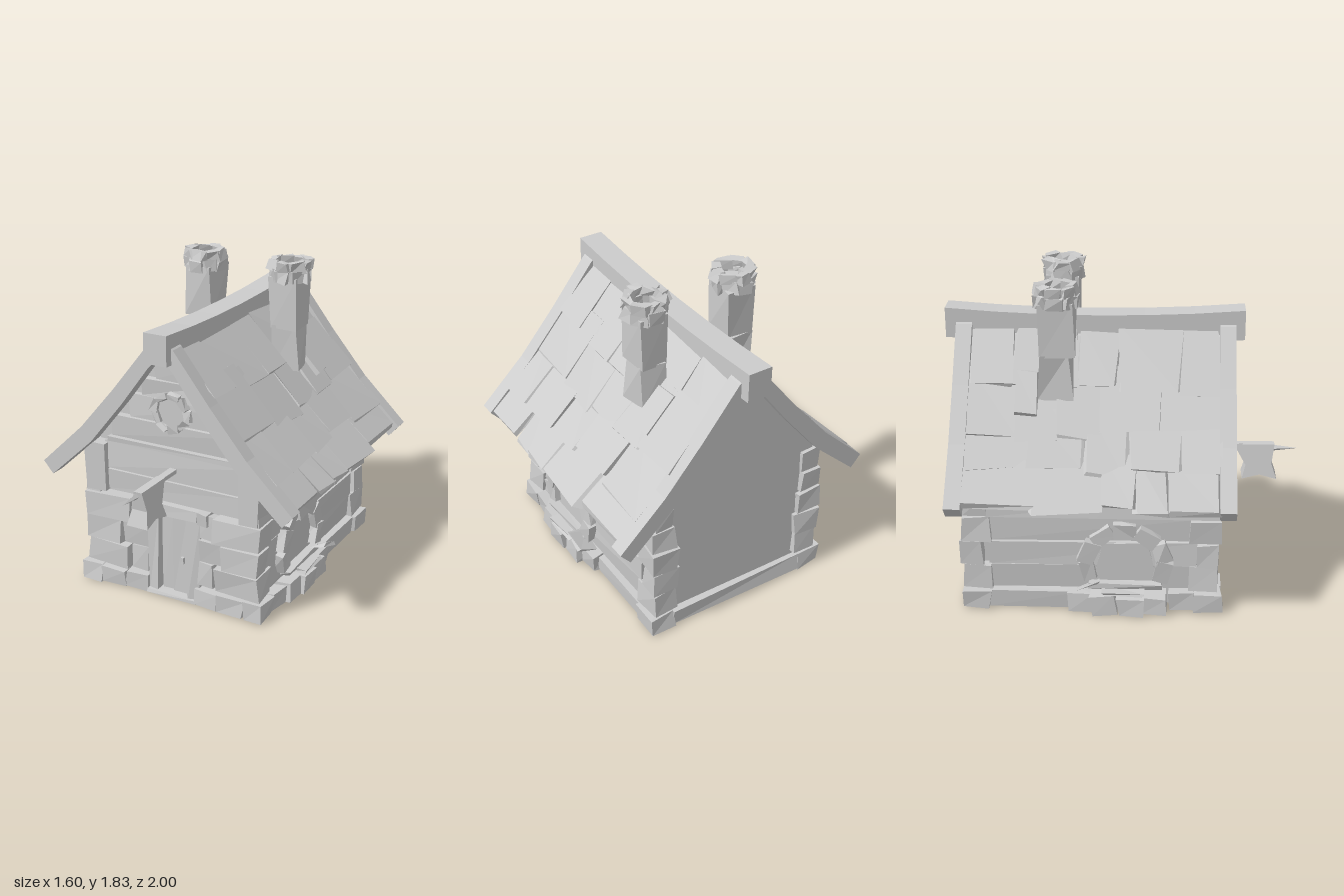
import * as THREE from 'three';

export function createModel() {
  const root = new THREE.Group();
  root.name = 'cottage';
  const stoneGrey = new THREE.MeshStandardMaterial({ color: 0xcccccc });
  stoneGrey.name = 'stoneGrey';
  stoneGrey.flatShading = true;

  let seed = 7;
  const rnd = () => {
    seed = (seed * 16807) % 2147483647;
    return seed / 2147483647 - 0.5;
  };
  const group = (name) => {
    const g = new THREE.Group();
    g.name = name;
    root.add(g);
    return g;
  };
  const add = (parent, name, geo) => {
    const m = new THREE.Mesh(geo, stoneGrey);
    m.name = name;
    parent.add(m);
    return m;
  };
  // A rough block: a box whose eight corners are nudged
  const block = (parent, name, x, y, z, w, h, d, jit = 0.012) => {
    const geo = new THREE.BoxGeometry(w, h, d);
    const p = geo.attributes.position;
    const off = Array.from({ length: 8 }, () => [rnd() * 2 * jit, rnd() * jit, rnd() * 2 * jit]);
    for (let i = 0; i < p.count; i++) {
      const k = (p.getX(i) > 0 ? 1 : 0) + (p.getY(i) > 0 ? 2 : 0) + (p.getZ(i) > 0 ? 4 : 0);
      p.setXYZ(i, p.getX(i) + off[k][0], p.getY(i) + off[k][1], p.getZ(i) + off[k][2]);
    }
    geo.computeVertexNormals();
    const m = add(parent, name, geo);
    m.position.set(x, y, z);
    return m;
  };
  // Block given by its limits
  const span = (parent, name, x0, x1, y0, y1, z0, z1, jit) =>
    block(parent, name, (x0 + x1) / 2, (y0 + y1) / 2, (z0 + z1) / 2, x1 - x0, y1 - y0, z1 - z0, jit);
  // Outline in x and y, drawn out from z0 to z1
  const prism = (parent, name, pts, z0, z1) => {
    const shape = new THREE.Shape(pts.map(([x, y]) => new THREE.Vector2(x, y)));
    const geo = new THREE.ExtrudeGeometry(shape, { depth: z1 - z0, bevelEnabled: false });
    geo.translate(0, 0, z0);
    return add(parent, name, geo);
  };

  // Walls and gables
  prism(root, 'wallBody', [[-0.5, 0.03], [0.5, 0.03], [0.5, 0.93], [0.3, 1.17], [0.08, 1.45], [0, 1.51],
    [-0.08, 1.45], [-0.3, 1.17], [-0.5, 0.93]], -0.86, 0.46);

  // Roof: curved slope shared by boards, deck and shingles
  const outer = [[0, 1.6], [0.08, 1.54], [0.3, 1.26], [0.52, 1.0], [0.79, 0.74]];
  const inner = [[0.73, 0.67], [0.46, 0.92], [0.25, 1.18], [0.08, 1.41], [0, 1.5]];
  const slopeY = (x) => {
    let i = 1;
    while (i < outer.length - 1 && x > outer[i][0]) i++;
    const [a, b] = [outer[i - 1], outer[i]];
    return a[1] + ((x - a[0]) / (b[0] - a[0])) * (b[1] - a[1]);
  };
  const roof = group('roof');
  const deckX = [0, 0.08, 0.3, 0.52, 0.68];
  const deck = [...deckX.map((x) => [x, slopeY(x) - 0.06]), ...deckX.toReversed().map((x) => [x, slopeY(x) - 0.095])];
  // Each course: inner and outer x, then the joints along z
  const courses = [
    [0.04, 0.3, [0.54, 0.32, -0.03, -0.25, -0.6, -0.86]],
    [0.2, 0.46, [0.54, 0.2, -0.12, -0.36, -0.58, -0.86]],
    [0.36, 0.62, [0.54, 0.33, 0.04, -0.2, -0.5, -0.86]],
    [0.52, 0.765, [0.54, 0.25, 0.08, -0.11, -0.47, -0.86]],
  ];
  for (const s of [1, -1]) {
    const flip = (pts) => pts.map(([x, y]) => [s * x, y]);
    prism(roof, 'roofDeck', flip(deck), -0.86, 0.54);
    prism(roof, 'frontBargeBoard', flip([...outer, ...inner]), 0.53, 0.62);
    prism(roof, 'backBargeBoard', flip([...outer, ...inner]), -0.94, -0.85);
    courses.forEach(([x0, x1, cuts]) => {
      for (let i = 0; i < cuts.length - 1; i++) {
        const xe = x1 + rnd() * 0.045;
        const ya = slopeY(x0) - 0.05;
        const yb = slopeY(xe) - 0.025 + rnd() * 0.02;
        const m = block(roof, 'shingle', s * (x0 + xe) / 2, (ya + yb) / 2, (cuts[i] + cuts[i + 1]) / 2,
          Math.hypot(xe - x0, ya - yb), 0.025, cuts[i] - cuts[i + 1] - 0.004, 0.02);
        m.rotation.z = s * Math.atan2(yb - ya, xe - x0);
      }
    });
    // Raised slate behind the chimney
    block(roof, 'raisedSlate', s * 0.33, slopeY(0.33) + 0.005, -0.53, 0.25, 0.025, 0.13, 0.01).rotation.z = -s * 0.83;
  }
  // Ridge beam, sagging in the middle
  const ridge = new THREE.BoxGeometry(0.14, 0.17, 1.67, 1, 1, 6);
  const rp = ridge.attributes.position;
  for (let i = 0; i < rp.count; i++) {
    const t = rp.getZ(i) / 0.835;
    rp.setY(i, rp.getY(i) - 0.035 * (1 - t * t));
  }
  ridge.computeVertexNormals();
  add(roof, 'ridgeBeam', ridge).position.set(0, 1.545, -0.165);

  // Chimneys with a ring of cap stones
  for (const s of [1, -1]) {
    const g = group('chimney');
    span(g, 'chimneyFoot', s * 0.275 - 0.075, s * 0.275 + 0.08, 1.19, 1.46, -0.45, -0.28, 0.02);
    span(g, 'chimneyShaft', s * 0.275 - 0.085, s * 0.275 + 0.085, 1.44, 1.74, -0.455, -0.265, 0.012);
    for (let i = 0; i < 8; i++) {
      const a = (i / 8) * Math.PI * 2;
      for (const [y, r, h] of [[1.75, 0.088, 0.07], [1.805, 0.092, 0.055]]) {
        const m = block(g, 'capStone', s * 0.275 + Math.cos(a) * r, y, -0.36 + Math.sin(a) * r, 0.045, h, 0.085, 0.016);
        m.rotation.set(rnd() * 0.3, -a + rnd() * 0.5, 0);
      }
    }
  }

  const walls = group('wallDetails');
  for (const s of [1, -1]) {
    // Side logs and corner stones
    const side = (name, x0, x1, ...rest) => span(walls, name, Math.min(s * x0, s * x1), Math.max(s * x0, s * x1), ...rest);
    [0.14, 0.285, 0.435].forEach((y, i) => {
      side('sideLog', 0.49, 0.53, y, y + 0.14, -0.74, 0.42, 0.008);
      side('frontCornerStone', i % 2 ? 0.33 : 0.28, 0.555, y, y + 0.14, i % 2 ? 0.43 : 0.38, 0.545, 0.014);
      side('frontWallStone', 0.17, i % 2 ? 0.32 : 0.27, y, y + 0.14, 0.44, 0.515, 0.014);
      side('backCornerStone', 0.4, 0.555, y, y + 0.14, -0.89, i % 2 ? -0.77 : -0.72, 0.014);
    });
    side('eaveLog', 0.47, 0.55, 0.585, 0.72, -0.74, 0.53, 0.012);
    side('upperSideLog', 0.47, 0.53, 0.72, 0.86, -0.82, 0.5, 0.008);
    side('backCornerStone', 0.42, 0.55, 0.585, 0.72, -0.89, -0.75, 0.012);
    side('backCornerStone', 0.42, 0.53, 0.72, 0.86, -0.88, -0.76, 0.012);
    side('cornerPost', 0.43, 0.555, 0.59, 0.88, 0.42, 0.545, 0.008);

    // Foundation stones, bulging beneath the side window
    side('cornerFooting', 0.46, 0.58, 0.02, 0.125, 0.4, 0.56, 0.012);
    side('cornerFooting', 0.43, 0.58, 0.02, 0.125, -0.9, -0.74, 0.012);
    side('sideFooting', 0.49, 0.56, 0.02, 0.125, -0.74, -0.24, 0.008);
    side('frontFooting', 0.3, 0.46, 0.02, 0.12, 0.44, 0.555, 0.012);
    side('frontFooting', 0.16, 0.3, 0.02, 0.12, 0.44, 0.545, 0.012);
    [0.34, 0.19, 0.05, -0.1, -0.23].forEach((z, i) => {
      const x = [0.58, 0.62, 0.645, 0.63, 0.59][i];
      side('sillStone', 0.48, x, 0.02, 0.13 + rnd() * 0.02, z - 0.07, z + 0.07, 0.014);
    });
    side('looseSlab', 0.53, 0.64, 0.145, 0.165, -0.1, 0.12, 0.015);
    block(walls, 'fallenSlab', s * 0.595, 0.185, -0.18, 0.11, 0.02, 0.14, 0.015).rotation.set(-0.35, 0, s * 0.4);

    // Arched side window
    const cz = 0.02;
    for (let i = 0; i < 7; i++) {
      const a = (i / 6) * Math.PI * 1.16 - 0.25;
      const m = block(walls, 'archStone', s * 0.535, 0.31 + Math.sin(a) * 0.195, cz + Math.cos(a) * 0.215, 0.08, 0.125, 0.085, 0.012);
      m.rotation.x = -a;
    }
    // Pane tapering towards the top
    const pane = new THREE.BoxGeometry(0.009, 0.23, 0.36);
    const pp = pane.attributes.position;
    for (let i = 0; i < pp.count; i++) if (pp.getY(i) > 0) pp.setZ(i, pp.getZ(i) * 0.7);
    pane.computeVertexNormals();
    add(walls, 'windowPane', pane).position.set(s * 0.534, 0.305, cz);
    side('windowLedge', 0.52, 0.59, 0.16, 0.19, cz - 0.2, cz + 0.2, 0.01);

    // Door jambs and corbels
    side('doorJamb', 0.09, 0.17, 0.02, 0.55, 0.44, 0.52, 0.012);
    side('corbel', 0.17, 0.24, 0.52, 0.59, 0.44, 0.54, 0.012);
  }
  span(walls, 'backFooting', -0.43, 0.43, 0.02, 0.12, -0.9, -0.84, 0.008);
  span(walls, 'threshold', -0.16, 0.16, 0.02, 0.04, 0.4, 0.54, 0.005);

  // Front logs, shortened to follow the gable
  [[0.6, 0.725, 0.44], [0.73, 0.89, 0.44], [0.93, 1.065, 0.39], [1.07, 1.2, 0.28], [1.205, 1.31, 0.19], [1.315, 1.4, 0.11]]
    .forEach(([y0, y1, w]) => span(walls, 'frontLog', -w, w, y0, y1, 0.44, 0.5, 0.01));
  span(walls, 'tieBeam', -0.42, 0.42, 0.895, 0.925, 0.44, 0.515, 0.006);

  // Round gable window
  const round = group('gableWindow');
  const pane = add(round, 'roundPane', new THREE.CylinderGeometry(0.1, 0.1, 0.008, 12));
  pane.rotation.x = Math.PI / 2;
  pane.position.set(0, 1.14, 0.506);
  for (let i = 0; i < 9; i++) {
    const a = (i / 9) * Math.PI * 2;
    block(round, 'ringStone', Math.cos(a) * 0.1, 1.14 + Math.sin(a) * 0.09, 0.51, 0.035, 0.07, 0.035, 0.012).rotation.z = a;
  }

  // Door planks under a lintel
  const door = group('door');
  [[-0.09, -0.01, 0.475], [-0.01, 0.08, 0.485]].forEach(([x0, x1, z]) =>
    span(door, 'doorPlank', x0, x1 - 0.004, 0.03, 0.54, 0.44, z, 0.004));
  span(door, 'lintel', -0.17, 0.17, 0.53, 0.595, 0.44, 0.54, 0.01);
  span(door, 'doorHandle', 0.04, 0.06, 0.23, 0.27, 0.47, 0.5, 0.003);

  // Hanging lantern before the door: flared at the foot, narrow at the top
  const lantern = group('lantern');
  const side = new THREE.Shape([[0.63, 0.81], [0.7, 0.69], [0.68, 0.61], [0.78, 0.635], [0.88, 0.61], [0.85, 0.7], [0.865, 0.81]]
    .map(([z, y]) => new THREE.Vector2(z, y)));
  const body = new THREE.ExtrudeGeometry(side, { depth: 1, bevelEnabled: false });
  const bp = body.attributes.position;
  for (let i = 0; i < bp.count; i++) {
    const z = bp.getX(i), y = bp.getY(i);
    const half = 0.065 - (y - 0.61) * 0.2;
    bp.setXYZ(i, (0.5 - bp.getZ(i)) * 2 * half, y, z);
  }
  body.computeVertexNormals();
  add(lantern, 'lanternBody', body);
  span(lantern, 'lanternArm', -0.02, 0.02, 0.785, 0.81, 0.46, 0.7, 0.003);
  const spike = add(lantern, 'lanternSpike', new THREE.ConeGeometry(0.018, 0.14, 4));
  spike.rotation.x = Math.PI / 2;
  spike.position.set(-0.01, 0.785, 0.93);

  return root;
}
